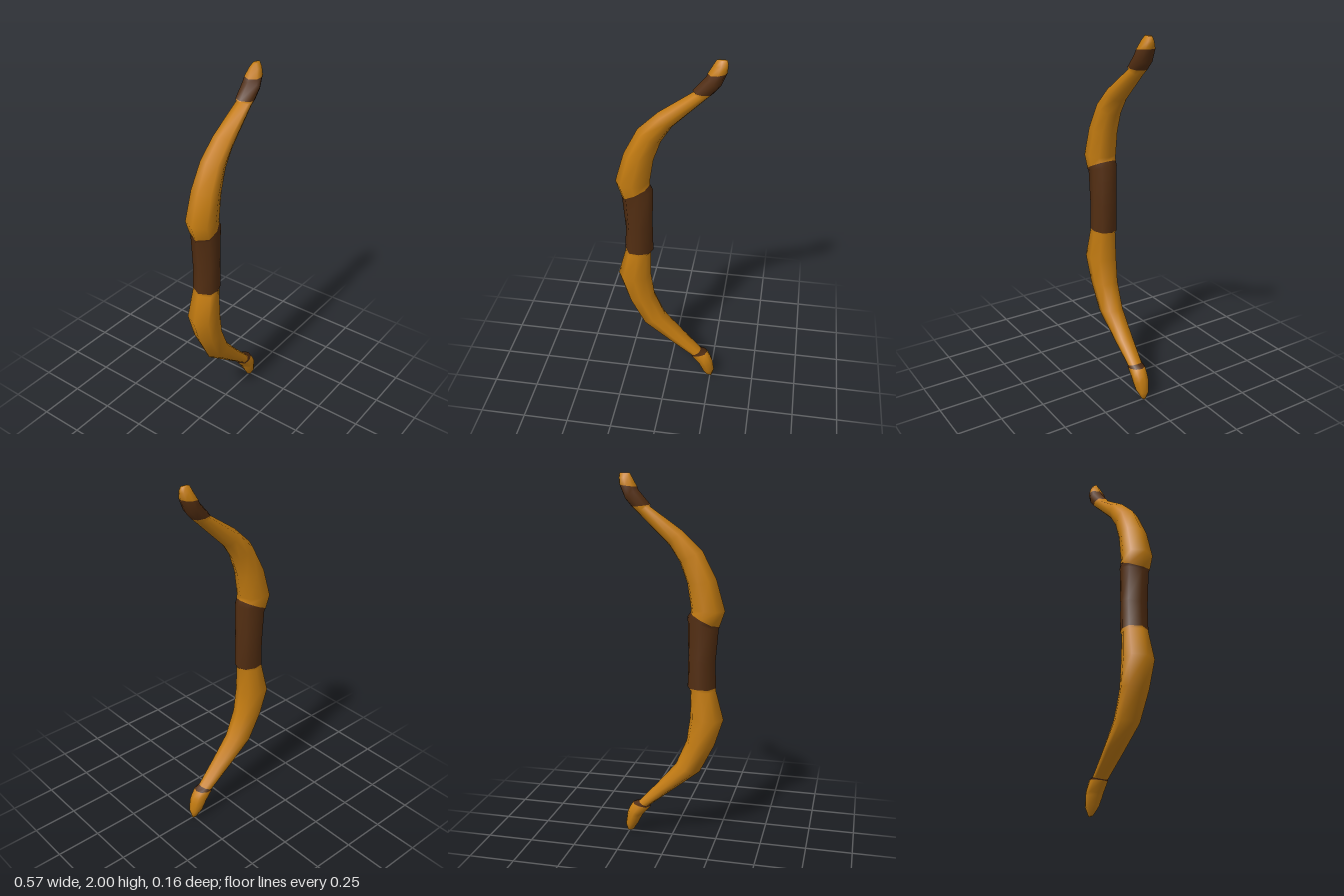
import * as THREE from 'three';

// Cross-section: [position from outer to inner edge, share of half depth], counterclockwise from above
const RING = [[0, 0], [0.2, 0.9], [0.55, 1], [0.88, 0.68], [1, 0], [0.88, -0.68], [0.55, -1], [0.2, -0.9]];

// Parts from bottom to top; each section is [outer x, outer y, inner x, inner y, half depth]
const PARTS = [
  ['lowerTip', 'wood', [
    [0.225, 0.01, 0.26, 0, 0.012],
    [0.2, 0.05, 0.272, 0.045, 0.034],
    [0.18, 0.09, 0.262, 0.11, 0.043],
    [0.172, 0.105, 0.25, 0.14, 0.044]]],
  ['lowerTipWrap', 'wrap', [
    [0.125, 0.16, 0.228, 0.178, 0.044]]],
  ['lowerLimb', 'wood', [
    [0.13, 0.167, 0.19, 0.19, 0.041],
    [0, 0.27, 0.09, 0.3, 0.051],
    [-0.155, 0.395, -0.02, 0.43, 0.062],
    [-0.235, 0.555, -0.08, 0.57, 0.07],
    [-0.283, 0.705, -0.1, 0.71, 0.078],
    [-0.24, 0.865, -0.1, 0.865, 0.066]]],
  ['grip', 'wrap', [
    [-0.24, 0.88, -0.085, 0.88, 0.066],
    [-0.235, 1.02, -0.088, 1.06, 0.067],
    [-0.25, 1.2, -0.083, 1.265, 0.069]]],
  ['upperLimb', 'wood', [
    [-0.254, 1.215, -0.1, 1.29, 0.074],
    [-0.283, 1.3, -0.1, 1.31, 0.077],
    [-0.235, 1.465, -0.08, 1.44, 0.07],
    [-0.16, 1.61, -0.04, 1.55, 0.061],
    [-0.055, 1.71, 0.015, 1.635, 0.055],
    [0.12, 1.832, 0.185, 1.8, 0.04]]],
  ['upperTipWrap', 'wrap', [
    [0.115, 1.84, 0.215, 1.828, 0.046],
    [0.18, 1.915, 0.25, 1.868, 0.047]]],
  ['upperTip', 'wood', [
    [0.185, 1.93, 0.28, 1.94, 0.043],
    [0.21, 1.975, 0.283, 1.975, 0.028],
    [0.225, 2, 0.278, 2, 0.012]]],
];

export function createModel() {
  const materials = {
    wood: new THREE.MeshStandardMaterial({ color: 0xc47c11 }),
    wrap: new THREE.MeshStandardMaterial({ color: 0x532e12 }),
  };
  materials.wood.name = 'wood';
  materials.wrap.name = 'darkWrap';

  // Rings of the whole bow
  const sections = PARTS.flatMap((p) => p[2]);
  const n = RING.length;
  const positions = [];
  for (const [ox, oy, ix, iy, depth] of sections) {
    for (const [t, d] of RING) positions.push(ox + (ix - ox) * t, oy + (iy - oy) * t, d * depth);
  }

  // Skin between neighbouring rings i and i + 1
  const band = (i) => {
    const out = [];
    for (let j = 0; j < n; j++) {
      const a = i * n + j, b = i * n + (j + 1) % n;
      out.push(a, b, b + n, a, b + n, a + n);
    }
    return out;
  };
  const cap = (i, up) => {
    const out = [];
    for (let j = 1; j < n - 1; j++) {
      const a = i * n, b = a + j, c = b + 1;
      out.push(...(up ? [a, b, c] : [a, c, b]));
    }
    return out;
  };

  // Smooth normals are shared by all the parts
  const last = sections.length - 1;
  const skin = new THREE.BufferGeometry();
  skin.setAttribute('position', new THREE.Float32BufferAttribute(positions, 3));
  skin.setIndex([...cap(0, false), ...Array.from({ length: last }, (_, i) => band(i)).flat(), ...cap(last, true)]);
  skin.computeVertexNormals();

  const group = new THREE.Group();
  group.name = 'bow';
  let start = 0;
  for (const [name, colour, list] of PARTS) {
    const index = [];
    if (start === 0) index.push(...cap(0, false));
    for (let i = start; i < Math.min(start + list.length, last); i++) index.push(...band(i));
    start += list.length;
    if (start > last) index.push(...cap(last, true));
    const geometry = new THREE.BufferGeometry();
    geometry.setAttribute('position', skin.getAttribute('position').clone());
    geometry.setAttribute('normal', skin.getAttribute('normal').clone());
    geometry.setIndex(index);
    const mesh = new THREE.Mesh(geometry, materials[colour]);
    mesh.name = name;
    group.add(mesh);
  }
  return group;
}
